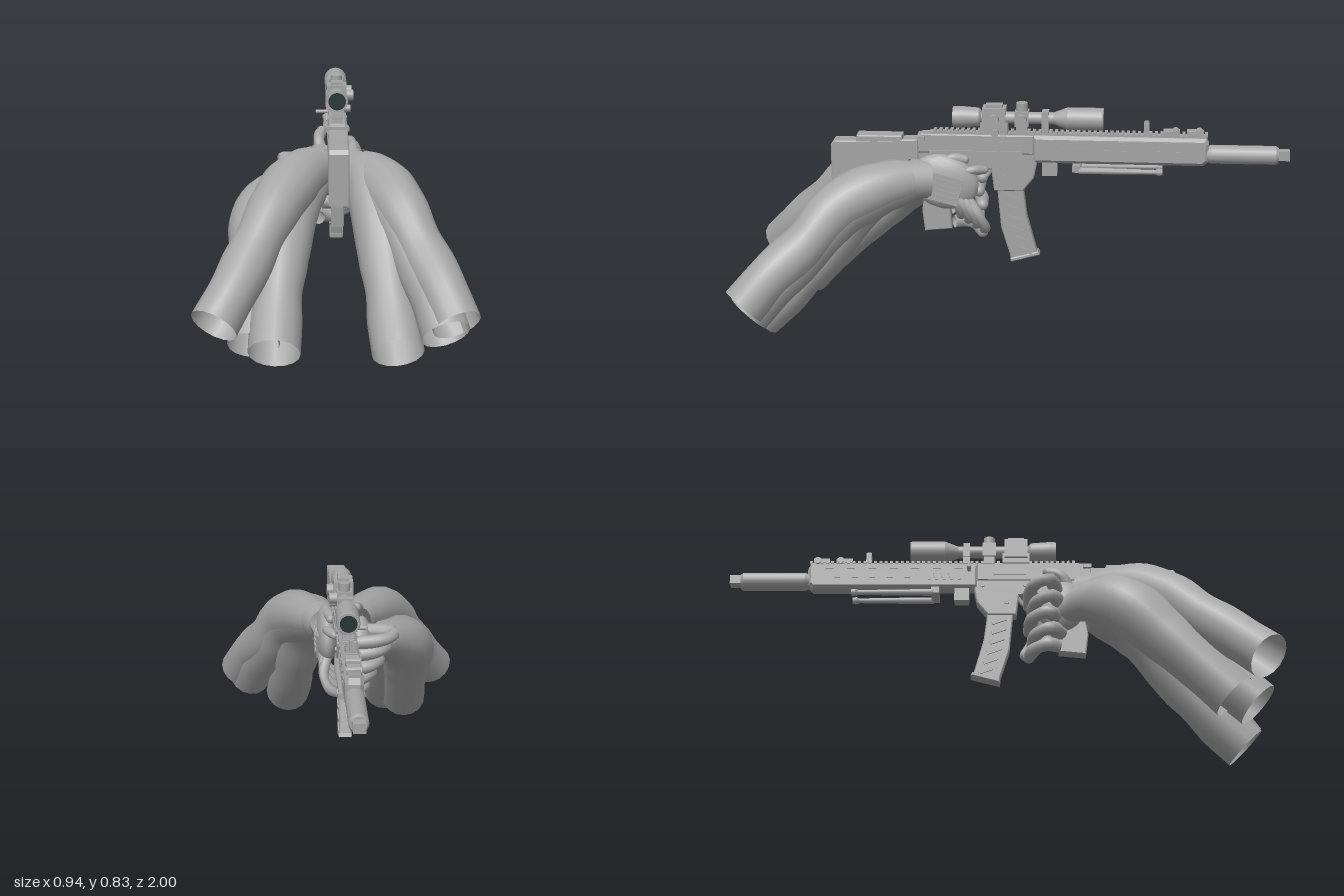
import * as THREE from 'three';

const CX = 0.015; // centre plane of the rifle

export function createModel() {
  const root = new THREE.Group();
  const gunMetal = new THREE.MeshStandardMaterial({ color: 0xa4a4a4 });
  gunMetal.name = 'gunGrey';
  const sleeveGrey = new THREE.MeshStandardMaterial({ color: 0xa6a6a6, side: THREE.DoubleSide });
  sleeveGrey.name = 'sleeveGrey';
  const lensDark = new THREE.MeshStandardMaterial({ color: 0x223434 });
  lensDark.name = 'lensDark';

  const add = (name, geo, mat = gunMetal) => {
    const m = new THREE.Mesh(geo, mat);
    m.name = name;
    root.add(m);
    return m;
  };
  const box = (name, w, h, d, x, y, z, mat) => {
    const m = add(name, new THREE.BoxGeometry(w, h, d), mat);
    m.position.set(x, y, z);
    return m;
  };
  // Side profile of [z, y] points, extruded across x
  const plate = (name, pts, width, bevel = 0.004) => {
    const shape = new THREE.Shape(pts.map(([z, y]) => new THREE.Vector2(-z, y)));
    const geo = new THREE.ExtrudeGeometry(shape, {
      depth: width - 2 * bevel, bevelEnabled: true, bevelSize: bevel,
      bevelThickness: bevel, bevelOffset: -bevel, bevelSegments: 1,
    });
    geo.translate(0, 0, -(width - 2 * bevel) / 2).rotateY(Math.PI / 2).translate(CX, 0, 0);
    add(name, geo);
  };
  // Turned part along z; profile of [z, radius] from rear to front
  const barrel = (name, x, y, pts, sides = 20) => {
    for (let i = 0; i < pts.length - 1; i++) {
      const g = new THREE.CylinderGeometry(pts[i][1], pts[i + 1][1], pts[i][0] - pts[i + 1][0], sides);
      g.rotateX(Math.PI / 2).translate(x, y, (pts[i][0] + pts[i + 1][0]) / 2);
      add(name, g);
    }
  };
  const knob = (name, r, len, x, y, z, axis) => {
    const g = new THREE.CylinderGeometry(r, r, len, 14);
    if (axis === 'x') g.rotateZ(Math.PI / 2);
    add(name, g).position.set(x, y, z);
  };
  // Tube whose radius follows a list of values along its path
  const taperTube = (name, pts, radii, segs = 28, sides = 16) => {
    const curve = new THREE.CatmullRomCurve3(pts.map((p) => new THREE.Vector3(...p)));
    const geo = new THREE.TubeGeometry(curve, segs, 1, sides, false);
    const pos = geo.attributes.position, v = new THREE.Vector3();
    for (let i = 0; i <= segs; i++) {
      const c = curve.getPointAt(i / segs);
      const t = (i / segs) * (radii.length - 1), k = Math.min(Math.floor(t), radii.length - 2);
      const r = THREE.MathUtils.lerp(radii[k], radii[k + 1], THREE.MathUtils.smoothstep(t - k, 0, 1));
      for (let j = 0; j <= sides; j++) {
        const n = i * (sides + 1) + j;
        v.fromBufferAttribute(pos, n).sub(c).multiplyScalar(r).add(c);
        pos.setXYZ(n, v.x, v.y, v.z);
      }
    }
    add(name, geo, sleeveGrey);
  };

  // Stock with cheek riser
  plate('stock', [[0.66, 0.675], [0.65, 0.69], [0.57, 0.69], [0.34, 0.70], [0.34, 0.62], [0.48, 0.58], [0.61, 0.5], [0.66, 0.5]], 0.07);
  plate('cheekRiser', [[0.57, 0.68], [0.565, 0.712], [0.4, 0.712], [0.395, 0.68]], 0.068);

  // Receiver, magazine well and magazine
  plate('upperReceiver', [[0.345, 0.71], [0.33, 0.72], [-0.08, 0.72], [-0.08, 0.65], [0.345, 0.65]], 0.06);
  plate('lowerReceiver', [[0.345, 0.66], [-0.09, 0.66], [-0.09, 0.61], [-0.08, 0.56], [-0.04, 0.51], [0.065, 0.51], [0.075, 0.59], [0.34, 0.6]], 0.052);
  plate('magazine', [[0.055, 0.53], [-0.04, 0.53], [-0.055, 0.41], [-0.095, 0.265], [0, 0.24], [0.04, 0.37]], 0.042);
  plate('magazineFoot', [[0.006, 0.252], [-0.096, 0.28], [-0.102, 0.266], [0.004, 0.237]], 0.05);
  plate('pistolGrip', [[0.2, 0.61], [0.23, 0.47], [0.22, 0.36], [0.32, 0.35], [0.33, 0.43], [0.3, 0.61]], 0.045);
  const guard = new THREE.TorusGeometry(0.055, 0.007, 6, 16, Math.PI);
  guard.rotateZ(Math.PI).rotateY(Math.PI / 2).translate(CX, 0.6, 0.13);
  add('triggerGuard', guard);
  for (const s of [-1, 1]) {
    box('ejectionPort', 0.012, 0.03, 0.12, CX + s * 0.029, 0.685, 0.04);
    box('receiverRib', 0.01, 0.012, 0.34, CX + s * 0.031, 0.655, 0.13);
    for (let i = 0; i < 6; i++) {
      const r = box('magazineRib', 0.012, 0.014, 0.055, CX + s * 0.02, 0.485 - i * 0.04, 0.002 - i * i * 0.002);
      r.rotation.x = -0.35;
    }
    for (const [z, y] of [[0.3, 0.63], [0.1, 0.63], [-0.06, 0.63], [0.03, 0.56]]) knob('receiverPin', 0.009, 0.012, CX + s * 0.026, y, z, 'x');
  }
  box('chargingHandle', 0.08, 0.015, 0.03, CX, 0.705, 0.33);

  // Handguard with slots and top rail
  plate('handguard', [[-0.075, 0.72], [-0.7, 0.72], [-0.71, 0.7], [-0.71, 0.635], [-0.69, 0.618], [-0.075, 0.618]], 0.064, 0.012);
  box('topRail', 0.036, 0.01, 1.0, CX, 0.722, -0.2);
  for (let i = 0; i < 50; i++) box('railTooth', 0.04, 0.009, 0.011, CX, 0.73, 0.28 - i * 0.02);
  for (const s of [-1, 1]) {
    for (let i = 0; i < 5; i++) {
      const m = box('handguardSlot', 0.01, 0.03, 0.011, CX + s * 0.031, 0.665, -0.15 - i * 0.028);
      m.rotation.x = -0.3;
    }
    for (let i = 0; i < 5; i++) box('handguardVent', 0.01, 0.014, 0.02, CX + s * 0.031, 0.665, -0.34 - i * 0.065);
    for (let i = 0; i < 7; i++) box('sideRailTooth', 0.01, 0.01, 0.03, CX + s * 0.031, 0.7, -0.15 - i * 0.08);
  }

  // Suppressor and muzzle
  barrel('suppressor', CX, 0.658, [[-0.7, 0.028], [-0.72, 0.034], [-0.95, 0.034], [-0.96, 0.028]]);
  box('muzzleTip', 0.042, 0.034, 0.045, CX, 0.66, -0.9775);

  // Folded bipod legs under the handguard
  box('bipodMount', 0.045, 0.05, 0.055, CX, 0.595, -0.137);
  box('bipodBracket', 0.09, 0.025, 0.03, CX, 0.603, -0.235);
  for (const s of [-1, 1]) {
    barrel('bipodLeg', CX + s * 0.035, 0.596, [[-0.22, 0.008], [-0.24, 0.008], [-0.245, 0.013], [-0.4, 0.011], [-0.52, 0.009], [-0.53, 0.014], [-0.545, 0.012]], 10);
  }

  // Folding sights
  box('frontSightPost', 0.012, 0.05, 0.014, CX, 0.752, -0.485);
  for (const s of [-1, 1]) box('frontSightEar', 0.008, 0.04, 0.02, CX + s * 0.014, 0.75, -0.485);
  for (const z of [-0.575, -0.66]) {
    box('foldedSight', 0.045, 0.016, 0.06, CX, 0.736, z);
    knob('sightHinge', 0.013, 0.05, CX, 0.737, z - 0.015, 'x');
  }

  // Telescopic sight with mount, turrets and lenses
  const SY = 0.78;
  barrel('scopeTube', CX, SY, [[0.215, 0.038], [0.19, 0.039], [0.12, 0.034], [0.11, 0.022], [-0.15, 0.022], [-0.2, 0.041], [-0.325, 0.041], [-0.33, 0.039]], 24);
  for (const [z, dir] of [[0.2155, 0], [-0.3305, Math.PI]]) {
    const lens = add('scopeLens', new THREE.CircleGeometry(0.031, 24), lensDark);
    lens.position.set(CX, SY, z);
    lens.rotation.y = dir;
  }
  box('scopeMountBody', 0.07, 0.075, 0.085, CX, 0.782, 0.065);
  box('scopeMountCap', 0.04, 0.014, 0.06, CX, 0.823, 0.065);
  box('scopeMountFoot', 0.05, 0.04, 0.1, CX, 0.745, 0.065);
  knob('mountKnob', 0.02, 0.025, 0.062, SY, 0.065, 'x');
  box('scopeRing', 0.05, 0.055, 0.025, CX, SY, -0.12);
  box('ringFoot', 0.04, 0.04, 0.025, CX, 0.745, -0.12);
  knob('boltLever', 0.007, 0.06, -0.03, 0.69, -0.11, 'x');
  box('turretBlock', 0.055, 0.055, 0.05, CX, SY, -0.035);
  knob('topTurret', 0.021, 0.03, CX, 0.822, -0.035, 'y');
  knob('sideTurret', 0.02, 0.03, 0.055, SY, -0.035, 'x');
  box('turretFoot', 0.04, 0.04, 0.04, CX, 0.745, -0.035);
  knob('clampScrew', 0.013, 0.03, 0.05, 0.73, 0.06, 'x');

  // Sleeves, open at the far end
  const upper = [0.083, 0.081, 0.087, 0.082, 0.092, 0.098, 0.086, 0.064];
  const lower = [0.087, 0.088, 0.08, 0.09, 0.094, 0.094, 0.085, 0.062];
  taperTube('rightOuterSleeve', [[0.395, 0.165, 0.93], [0.35, 0.265, 0.84], [0.29, 0.36, 0.73], [0.22, 0.485, 0.615], [0.155, 0.545, 0.48], [0.075, 0.565, 0.33]], upper);
  taperTube('rightTwinSleeve', [[0.36, 0.13, 0.92], [0.32, 0.24, 0.82], [0.265, 0.345, 0.715], [0.205, 0.47, 0.6], [0.145, 0.535, 0.47], [0.072, 0.56, 0.33]], upper);
  taperTube('rightInnerSleeve', [[0.205, 0.065, 0.91], [0.188, 0.18, 0.79], [0.17, 0.32, 0.67], [0.147, 0.465, 0.56], [0.122, 0.545, 0.46], [0.07, 0.565, 0.34]], lower);
  taperTube('leftOuterSleeve', [[-0.395, 0.165, 0.93], [-0.33, 0.265, 0.84], [-0.27, 0.365, 0.735], [-0.2, 0.485, 0.615], [-0.13, 0.555, 0.48], [-0.045, 0.58, 0.32]], upper);
  taperTube('leftInnerSleeve', [[-0.2, 0.065, 0.91], [-0.192, 0.19, 0.78], [-0.175, 0.33, 0.65], [-0.14, 0.46, 0.5], [-0.06, 0.55, 0.34]], lower);
  taperTube('leftElbowSleeve', [[-0.27, 0.067, 0.82], [-0.265, 0.17, 0.72], [-0.26, 0.3, 0.59], [-0.245, 0.43, 0.45], [-0.16, 0.49, 0.34], [-0.07, 0.5, 0.25]], [0.087, 0.085, 0.088, 0.096, 0.106, 0.1, 0.072, 0.05]);
  // Glove cuffs round the wrists
  taperTube('rightCuff', [[0.092, 0.563, 0.365], [0.07, 0.56, 0.3]], [0.074, 0.07], 4);
  taperTube('leftCuff', [[-0.066, 0.575, 0.365], [-0.04, 0.575, 0.3]], [0.074, 0.07], 4);

  // Gloved right hand
  const palm = (name, x, y, z, sx, sy, sz, tilt) => {
    const m = add(name, new THREE.SphereGeometry(1, 18, 12), sleeveGrey);
    m.position.set(x, y, z);
    m.scale.set(sx, sy, sz);
    m.rotation.x = tilt;
  };
  palm('rightPalm', 0.068, 0.55, 0.245, 0.042, 0.1, 0.13, -0.3);
  const pad = box('gloveBackPlate', 0.03, 0.1, 0.11, 0.094, 0.53, 0.235, sleeveGrey);
  pad.rotation.x = -0.25;
  for (let i = 0; i < 4; i++) {
    const rib = box('glovePadRib', 0.008, 0.01, 0.07, 0.111, 0.56 - i * 0.02, 0.235);
    rib.rotation.x = -0.25;
  }
  // Rounded finger along a short path
  const finger = (name, pts, r) => {
    taperTube(name, pts, [r, r * 1.1, r * 0.92, r * 1.08, r * 0.9], 14, 10);
    const tip = add(name + 'Tip', new THREE.SphereGeometry(r * 0.9, 10, 8), sleeveGrey);
    tip.position.set(...pts[pts.length - 1]);
  };
  for (let i = 0; i < 4; i++) {
    const z = 0.2 - i * 0.028, y = 0.5 - i * 0.018;
    finger('rightFinger', [[0.07, y + 0.04, z + 0.04], [0.085, y - 0.02, z], [0.06, y - 0.07, z - 0.02], [0.02, y - 0.09, z - 0.01]], 0.018);
  }
  finger('rightThumb', [[0.07, 0.6, 0.26], [0.065, 0.635, 0.22], [0.055, 0.63, 0.17]], 0.019);
  finger('rightIndex', [[0.07, 0.58, 0.2], [0.07, 0.595, 0.14], [0.045, 0.59, 0.1]], 0.017);

  // Gloved left hand with stacked fingers
  palm('leftPalm', -0.055, 0.52, 0.23, 0.05, 0.1, 0.09, 0.3);
  for (let i = 0; i < 5; i++) {
    const y = 0.57 - i * 0.052, z = 0.13 + (i % 2) * 0.012, out = -0.18 + i * 0.028;
    finger('leftFinger', [[-0.05, y, z + 0.09], [out, y, z + 0.05], [out + 0.03, y - 0.008, z], [0.01, y - 0.018, z - 0.02]], 0.024);
  }
  finger('leftThumb', [[-0.04, 0.6, 0.26], [-0.05, 0.65, 0.23], [-0.04, 0.67, 0.18]], 0.02);

  return root;
}
